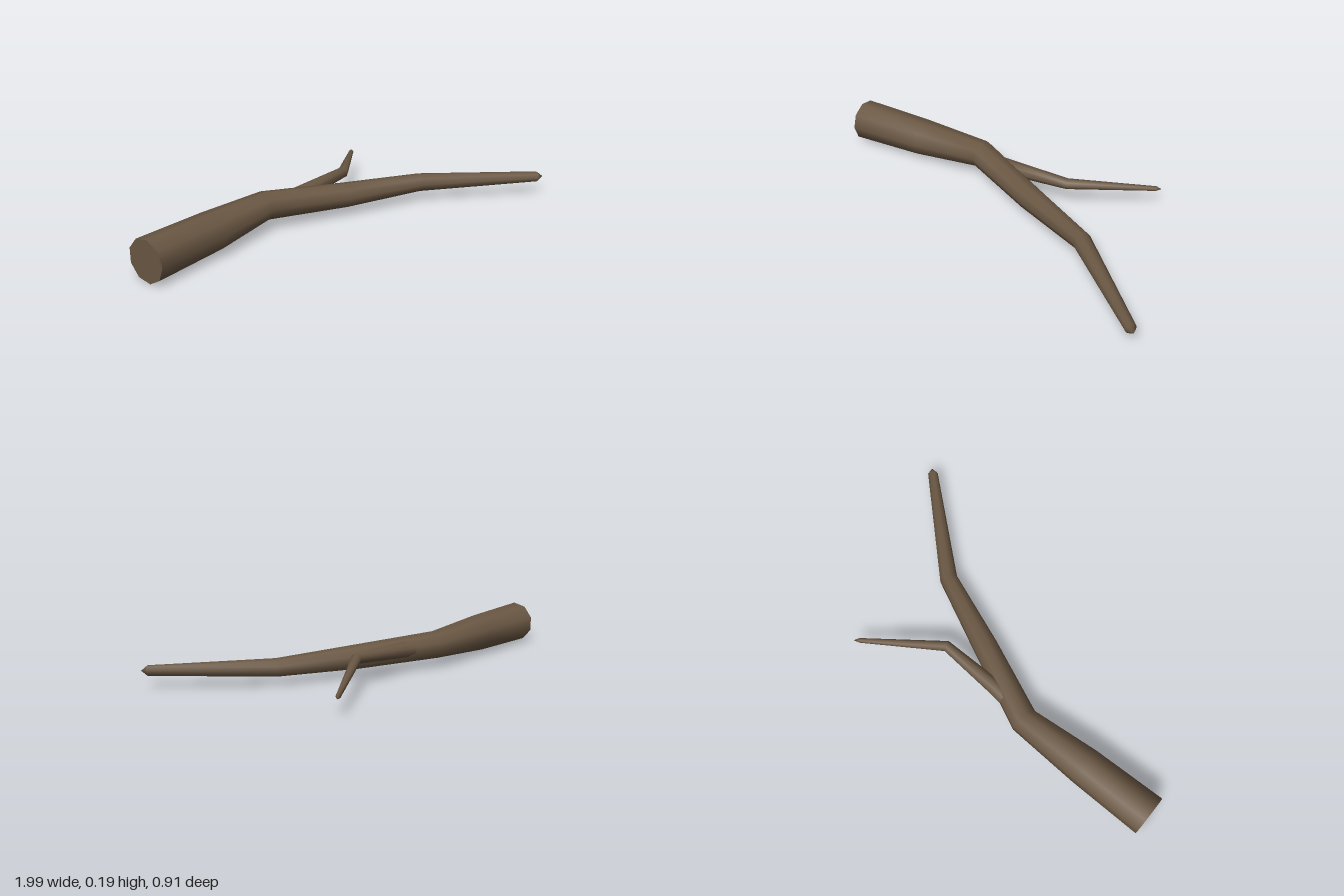
import * as THREE from 'three';

const SIDES = 9;

// Stations along a limb: [x, y, z, radius]; the last one is the tip point.
const TRUNK = [
  [-0.96, 0.095, 0.37, 0.096],
  [-0.645, 0.1, 0.22, 0.088],
  [-0.345, 0.109, 0.073, 0.065],
  [0.05, 0.093, 0.074, 0.057],
  [0.43, 0.088, 0.067, 0.042],
  [0.967, 0.088, 0.235, 0.024],
  [0.995, 0.088, 0.244, 0],
];
const TWIG = [
  [-0.33, 0.1, 0.09, 0.04],
  [-0.15, 0.115, 0.023, 0.036],
  [0.11, 0.135, -0.09, 0.025],
  [0.322, 0.094, -0.432, 0.011],
  [0.335, 0.09, -0.455, 0],
];

// One ring of points, square to the averaged direction of the path
function ringAt(stations, i) {
  const pts = stations.map(([x, y, z]) => new THREE.Vector3(x, y, z));
  const tangent = new THREE.Vector3();
  if (i > 0) tangent.add(pts[i].clone().sub(pts[i - 1]).normalize());
  if (i < pts.length - 1) tangent.add(pts[i + 1].clone().sub(pts[i]).normalize());
  tangent.normalize();
  const side = new THREE.Vector3().crossVectors(tangent, new THREE.Vector3(0, 1, 0)).normalize();
  const up = new THREE.Vector3().crossVectors(side, tangent);
  const r = stations[i][3];
  return Array.from({ length: SIDES }, (_, j) => {
    const a = (j / SIDES) * Math.PI * 2;
    return pts[i].clone().addScaledVector(side, r * Math.cos(a)).addScaledVector(up, r * Math.sin(a));
  });
}

function toGeometry(points, index) {
  const geometry = new THREE.BufferGeometry().setFromPoints(points);
  geometry.setIndex(index);
  geometry.computeVertexNormals();
  return geometry;
}

// Smooth tapered skin through all rings, closed by a pointed tip
function limbGeometry(stations) {
  const points = [];
  const index = [];
  const last = stations.length - 1;
  for (let i = 0; i < last; i++) points.push(...ringAt(stations, i));
  points.push(new THREE.Vector3(...stations[last].slice(0, 3)));
  const tip = points.length - 1;
  for (let i = 0; i < last; i++) {
    for (let j = 0; j < SIDES; j++) {
      const a = i * SIDES + j;
      const b = i * SIDES + ((j + 1) % SIDES);
      if (i === last - 1) index.push(a, tip, b);
      else index.push(a, a + SIDES, b, b, a + SIDES, b + SIDES);
    }
  }
  return toGeometry(points, index);
}

// Flat end closing the thick start of a limb
function buttGeometry(stations) {
  const points = [...ringAt(stations, 0), new THREE.Vector3(...stations[0].slice(0, 3))];
  const index = [];
  for (let j = 0; j < SIDES; j++) index.push(SIDES, j, (j + 1) % SIDES);
  return toGeometry(points, index);
}

export function createModel() {
  const bark = new THREE.MeshStandardMaterial({ color: 0x6b5844 });
  bark.name = 'bark';

  const group = new THREE.Group();
  group.name = 'branch';
  const add = (name, geometry) => {
    const mesh = new THREE.Mesh(geometry, bark);
    mesh.name = name;
    group.add(mesh);
  };

  add('mainLimb', limbGeometry(TRUNK));
  add('cutEnd', buttGeometry(TRUNK));
  add('sideTwig', limbGeometry(TWIG));
  return group;
}
